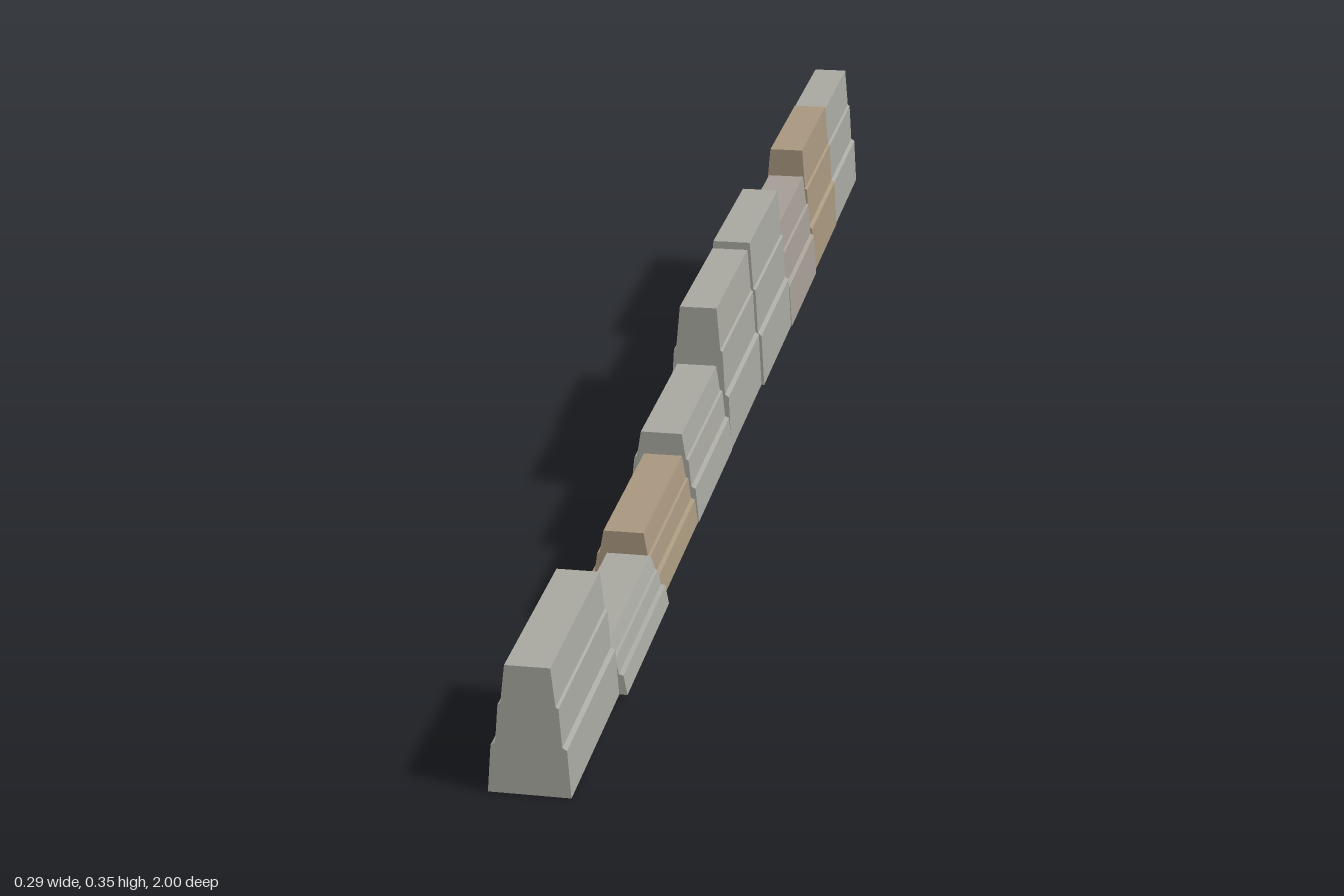
import * as THREE from 'three';

const GREY = 0xa8a8a1, WARM = 0xa59e96, TAN = 0xa8977f;
const END = 0.9955, STEP = (2 * END) / 9;   // nine equal sections along z
const LEAN = 0.1, SLOPE = 0.085;            // sideways drift and climb per unit of length

// Sections from the low front end to the high back end
const sections = [
  { height: 0.142, width: 0.98, shift: 0, color: GREY },
  { height: 0.058, width: 1.05, shift: 0.006, color: GREY },
  { height: 0.085, width: 0.97, shift: 0, color: TAN },
  { height: 0.113, width: 1.04, shift: -0.002, color: GREY },
  { height: 0.190, width: 0.98, shift: 0, color: GREY },
  { height: 0.200, width: 1.02, shift: 0.002, color: GREY },
  { height: 0.148, width: 1.05, shift: 0.002, color: WARM },
  { height: 0.188, width: 0.98, shift: 0.002, color: TAN },
  { height: 0.182, width: 1.0, shift: 0, color: GREY },
];

// Half profile of three battered courses: [half width, fraction of height]
const courses = [
  [0.045, 0], [0.041, 0.37], [0.036, 0.39],
  [0.0325, 0.69], [0.0295, 0.7], [0.0245, 1],
];

function sectionGeometry({ height, width }, i) {
  // Course lines wander a little from section to section
  const wander = 0.025 * Math.sin(i * 2.3);
  const right = courses.map(([w, f]) =>
    new THREE.Vector2(w * width, height * (f > 0 && f < 1 ? f + wander : f)));
  const left = right.map(p => new THREE.Vector2(-p.x, p.y)).reverse();
  return new THREE.ExtrudeGeometry(new THREE.Shape([...right, ...left]),
    { depth: STEP, bevelEnabled: false });
}

export function createModel() {
  const wall = new THREE.Group();
  wall.name = 'steppedStoneWall';

  // Local x runs across the wall, y stays upright, z follows the climb
  const shear = new THREE.Matrix4().makeBasis(
    new THREE.Vector3(0.995, 0, LEAN),
    new THREE.Vector3(0, 1, 0),
    new THREE.Vector3(-LEAN, -SLOPE, 1));

  sections.forEach((section, i) => {
    const zBack = END - (i + 1) * STEP;
    const geometry = sectionGeometry(section, i).applyMatrix4(shear);
    geometry.translate(-LEAN * zBack + section.shift, SLOPE * (END - zBack), zBack);
    geometry.computeVertexNormals();
    const mesh = new THREE.Mesh(geometry,
      new THREE.MeshStandardMaterial({ color: section.color, flatShading: true }));
    mesh.name = `wallSection${i + 1}`;
    wall.add(mesh);
  });
  return wall;
}
